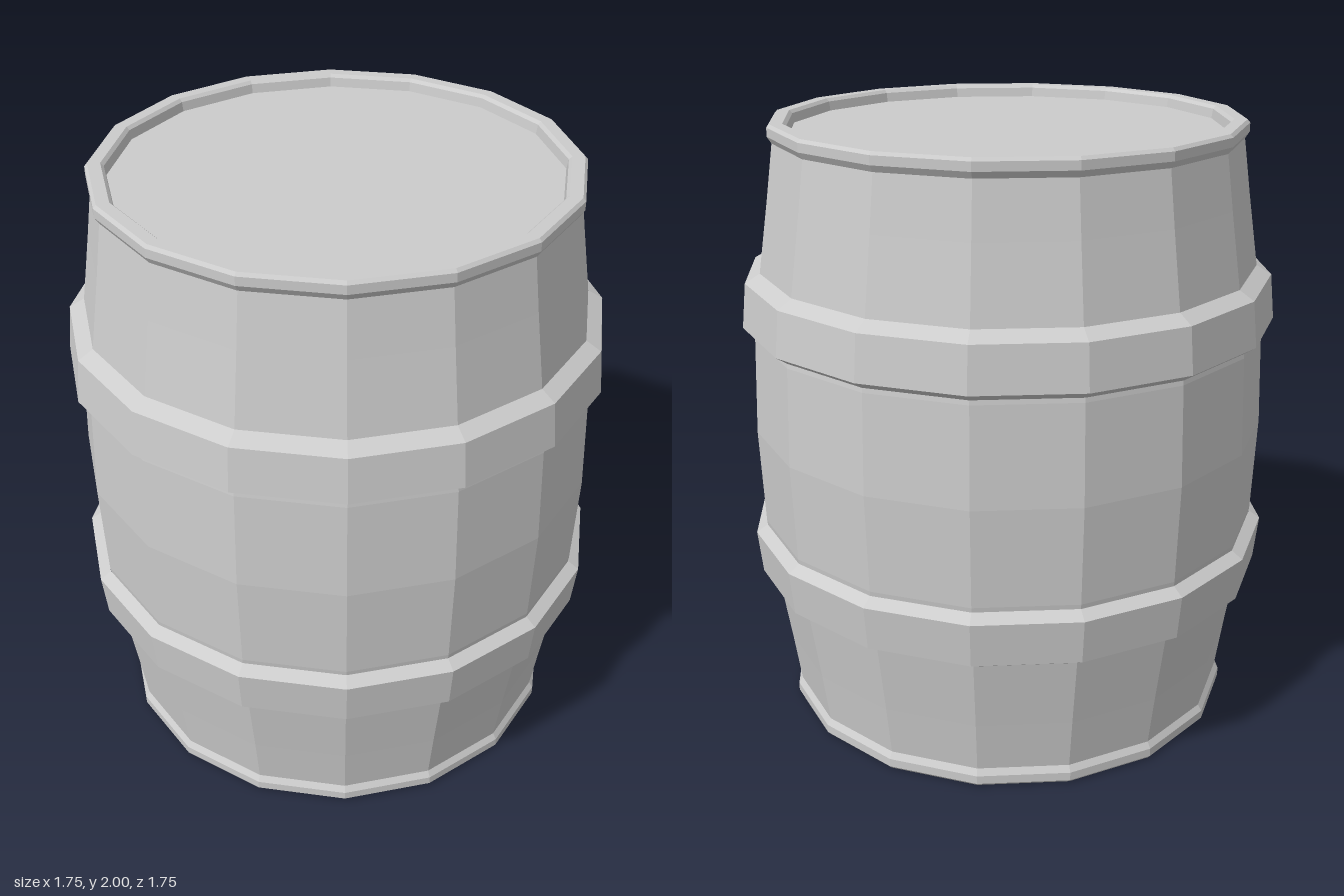
import * as THREE from 'three';

const SIDES = 16;

export function createModel() {
  const group = new THREE.Group();
  group.name = 'barrel';
  const grey = new THREE.MeshStandardMaterial({ color: 0xcccccc, flatShading: true });
  grey.name = 'plain grey';

  // Turns a [radius, height] profile around the y axis, profile running upward on the outside
  const turn = (name, profile) => {
    const points = profile.map(([r, y]) => new THREE.Vector2(r, y));
    const mesh = new THREE.Mesh(new THREE.LatheGeometry(points, SIDES), grey);
    mesh.name = name;
    group.add(mesh);
  };
  // Mirrors a profile about mid-height, keeping the winding outward
  const flip = (profile) => profile.map(([r, y]) => [r, 2 - y]).reverse();

  // Bulging staves
  const upperStaves = [[0.851, 1], [0.839, 1.32], [0.812, 1.53], [0.775, 1.77], [0.748, 1.96]];
  turn('staves', [...flip(upperStaves), ...upperStaves.slice(1)]);

  // Wide hoops follow the slope of the staves
  const hoop = (y, lean) => [
    [0.838 - 0.028 * lean, y - 0.1], [0.86 + 0.015 * (1 - lean), y - 0.07],
    [0.86 + 0.015 * lean, y + 0.075], [0.81 + 0.028 * lean, y + 0.1],
  ];
  turn('lowerHoop', hoop(0.565, 1));
  turn('upperHoop', flip(hoop(0.565, 1)));

  // End rims, with an inner wall down to the recessed head
  const rim = [
    [0.748, 1.937], [0.764, 1.962], [0.764, 1.99], [0.755, 2],
    [0.715, 2], [0.705, 1.99], [0.7, 1.96],
  ];
  turn('topRim', rim);
  turn('bottomRim', flip(rim));

  // Recessed flat heads
  turn('topHead', [[0.702, 1.96], [0, 1.96]]);
  turn('bottomHead', [[0, 0.04], [0.702, 0.04]]);

  return group;
}
